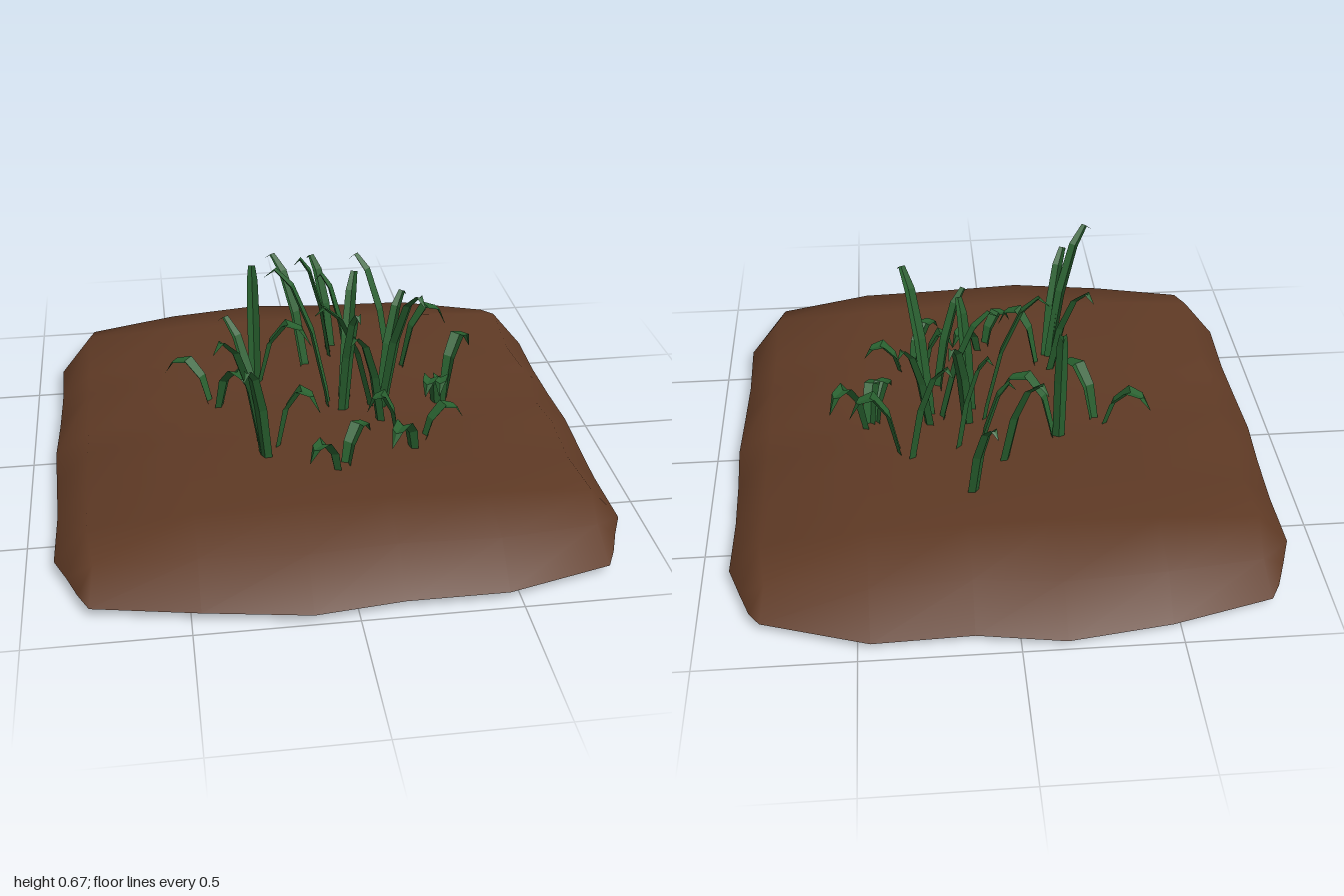
import * as THREE from 'three';

const soilMat = new THREE.MeshStandardMaterial({ color: 0x5f3a25, side: THREE.DoubleSide });
soilMat.name = 'brown soil';
const grassMat = new THREE.MeshStandardMaterial({ color: 0x28602f, side: THREE.DoubleSide });
grassMat.name = 'leaf green';

// Surface from rows of points, each row having the same count
function gridSurface(rows) {
  const n = rows[0].length, index = [];
  for (let i = 0; i < rows.length - 1; i++) {
    for (let j = 0; j < n - 1; j++) {
      const a = i * n + j, c = a + n;
      index.push(a, c, a + 1, a + 1, c, c + 1);
    }
  }
  const geo = new THREE.BufferGeometry();
  geo.setAttribute('position', new THREE.Float32BufferAttribute(rows.flat(2), 3));
  geo.setIndex(index);
  return geo;
}

// Ridged soil bed: rows run along x, furrow heights vary along z
function soilBed() {
  const xs = [-0.92, -0.8, -0.47, -0.14, 0.14, 0.46, 0.8, 0.92];
  const back = [0.81, 0.87, 0.955, 1, 0.955, 0.965, 0.855, 0.81];
  const front = [0.81, 0.88, 0.945, 1, 0.97, 0.97, 0.88, 0.81];
  const profile = [
    [-1, 0.03], [-0.86, 0.145], [-0.63, 0.192], [-0.4, 0.158], [-0.2, 0.183], [0, 0.148],
    [0.2, 0.183], [0.4, 0.16], [0.65, 0.193], [0.86, 0.15], [1, 0.03],
  ];
  const sideX = [0.835, 0.87, 0.91, 0.905, 0.91, 0.92, 0.912, 0.905, 0.91, 0.87, 0.835];
  const last = profile.length - 1;
  const rows = profile.map(([z, y], i) => xs.map((x, j) => {
    const side = j === 0 || j === xs.length - 1;
    const end = i === 0 || i === last;
    const reach = z < 0 ? back[j] : front[j];
    if (side) {
      const sz = end ? Math.sign(z) * reach : Math.abs(z) > 0.8 ? Math.sign(z) * 0.72 : z * 0.97;
      return [Math.sign(x) * sideX[i], 0.03, sz];
    }
    if (end) return [x, 0.03, z * reach];
    const nearEnd = Math.abs(z) > 0.8;
    const corner = nearEnd && Math.abs(x) > 0.7;
    return [corner ? x * 0.98 : x, y - 0.032 * (x / 0.8) ** 2, nearEnd ? z * (0.25 + 0.75 * reach) : z];
  }));
  const geo = gridSurface(rows);
  geo.computeVertexNormals();
  return new THREE.Mesh(geo, soilMat);
}

// Folded blade that rises from its base and bends over at the tip
function blade([bx, bz, tx, tz, h], k) {
  const short = h < 0.45;
  const along = short ? [0, 0.08, 0.25, 0.52, 0.8, 1] : [0, 0.12, 0.32, 0.6, 0.84, 1];
  const rise = short ? [0, 0.4, 0.8, 1, 0.96, 0.78] : [0, 0.3, 0.65, 0.91, 1, 0.95];
  const width = short ? [0.014, 0.018, 0.024, 0.028, 0.02, 0.001] : [0.018, 0.021, 0.022, 0.019, 0.012, 0.001];
  const y0 = k === 0 ? 0 : 0.012 + 0.004 * (k % 4);
  const dx = tx - bx, dz = tz - bz, len = Math.hypot(dx, dz);
  const ux = dx / len, uz = dz / len;
  const rows = along.map((f, i) => {
    const x = bx + dx * f, z = bz + dz * f, y = y0 + (h - y0) * rise[i], w = width[i];
    const fold = w * 0.55;
    return [
      [x - uz * w, y, z + ux * w],
      [x + ux * fold, y - fold * 0.6, z + uz * fold],
      [x + uz * w, y, z - ux * w],
    ];
  });
  const geo = gridSurface(rows).toNonIndexed();
  geo.computeVertexNormals();
  const mesh = new THREE.Mesh(geo, grassMat);
  mesh.name = 'grassBlade';
  return mesh;
}

// Tufts: each blade is base x, base z, tip x, tip z, height
const tufts = {
  rightTuft: [
    [0.455, -0.03, 0.58, -0.145, 0.365], [0.455, -0.03, 0.42, 0.1, 0.28], [0.44, -0.02, 0.37, 0.1, 0.28],
  ],
  backTuft: [
    [0.12, -0.41, 0.04, -0.57, 0.5], [0.12, -0.37, -0.03, -0.385, 0.56], [0.01, -0.26, -0.13, -0.445, 0.57],
    [0.165, -0.2, 0.03, -0.25, 0.56],
  ],
  backRightTuft: [
    [0.32, -0.23, 0.165, -0.35, 0.59], [0.33, -0.22, 0.51, -0.235, 0.42],
  ],
  centreTuft: [
    [0.07, -0.015, -0.17, -0.07, 0.67], [0.1, -0.03, 0.175, -0.24, 0.58], [0.09, 0.01, 0.13, 0.14, 0.57],
    [0.22, -0.015, -0.01, 0.04, 0.56], [0.23, -0.01, 0.33, 0.23, 0.66], [0.23, -0.03, 0.34, -0.15, 0.53],
    [0.22, 0.13, 0.08, 0.245, 0.54],
  ],
  leftTuft: [
    [-0.35, -0.075, -0.52, -0.155, 0.315], [-0.35, -0.075, -0.23, 0.1, 0.34],
    [-0.2, -0.17, -0.2, -0.22, 0.62], [-0.2, -0.185, 0, -0.12, 0.42],
  ],
  frontLeftTuft: [
    [-0.2, 0.29, -0.38, 0.455, 0.66], [-0.2, 0.25, -0.34, 0.065, 0.58], [-0.2, 0.3, -0.29, 0.475, 0.56],
    [-0.18, 0.26, -0.03, 0.32, 0.4],
  ],
  frontTuft: [
    [0.03, 0.41, -0.085, 0.485, 0.29], [0.03, 0.41, 0.14, 0.31, 0.29],
  ],
  frontRightTuft: [
    [0.3, 0.305, 0.19, 0.445, 0.3], [0.31, 0.275, 0.465, 0.26, 0.29], [0.26, 0.265, 0.14, 0.25, 0.34],
  ],
};

export function createModel() {
  const model = new THREE.Group();
  model.name = 'grassPatch';
  const soil = soilBed();
  soil.name = 'soilBed';
  model.add(soil);
  let k = 0;
  for (const [name, blades] of Object.entries(tufts)) {
    const tuft = new THREE.Group();
    tuft.name = name;
    for (const b of blades) tuft.add(blade(b, k++));
    model.add(tuft);
  }
  return model;
}
